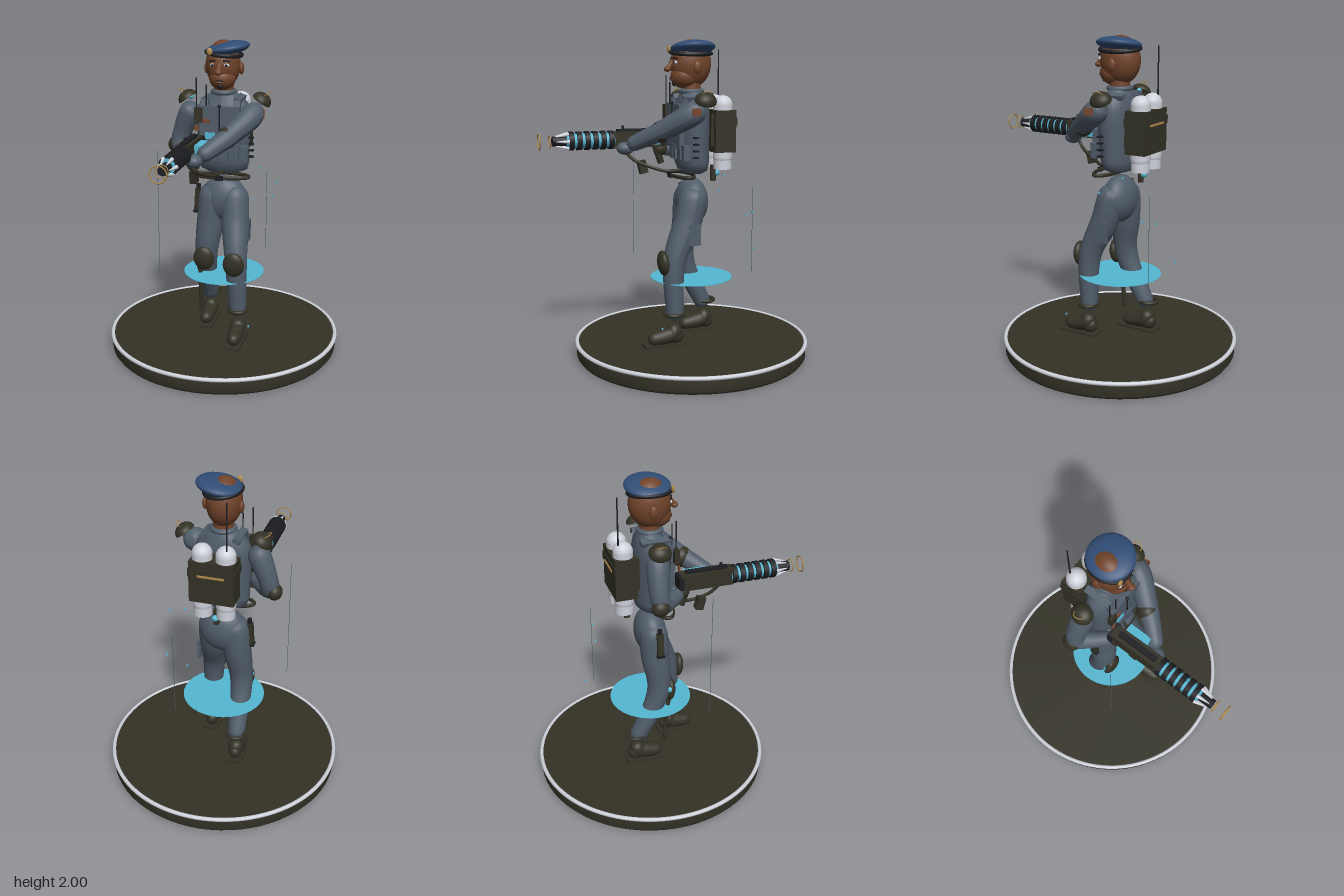
import * as THREE from 'three';

const mat = (name, color, double) => {
  const m = new THREE.MeshStandardMaterial({ color });
  m.name = name;
  if (double) m.side = THREE.DoubleSide;
  return m;
};
const V = (p) => new THREE.Vector3(...p);

// Round-ended limb: a tube whose rings are scaled to follow a list of radii
function limbGeo(points, radii, n = 40, seg = 20) {
  const curve = new THREE.CatmullRomCurve3(points.map(V));
  const g = new THREE.TubeGeometry(curve, n, 1, seg);
  const p = g.attributes.position, v = new THREE.Vector3(), len = curve.getLength();
  for (let i = 0; i <= n; i++) {
    const u = i / n, c = curve.getPointAt(u), f = u * (radii.length - 1);
    const k = Math.min(Math.floor(f), radii.length - 2);
    let r = THREE.MathUtils.lerp(radii[k], radii[k + 1], f - k);
    const d = Math.min(u, 1 - u) * len;
    if (d < r) r = Math.sqrt(Math.max(r * r - (r - d) ** 2, 1e-8));
    for (let j = 0; j <= seg; j++) {
      const q = i * (seg + 1) + j;
      v.fromBufferAttribute(p, q).sub(c).multiplyScalar(r).add(c);
      p.setXYZ(q, v.x, v.y, v.z);
    }
  }
  g.computeVertexNormals();
  return g;
}

// Body of elliptical cross-sections, each [y, z, halfWidth, halfDepth], bottom to top
function loftGeo(rows) {
  const g = new THREE.LatheGeometry(rows.map((r) => new THREE.Vector2(1, r[0])), 32);
  const p = g.attributes.position;
  for (let i = 0; i < p.count; i++) {
    const r = rows[i % rows.length];
    p.setXYZ(i, p.getX(i) * r[2], r[0], p.getZ(i) * r[3] + r[1]);
  }
  g.computeVertexNormals();
  return g;
}

export function createModel() {
  const root = new THREE.Group();
  root.name = 'soldierOnBase';
  const uniform = mat('uniform slate', 0x515d6a), dark = mat('dark olive', 0x343226, true);
  const black = mat('black', 0x1d1e22), skin = mat('skin brown', 0x70432a);
  const beretBlue = mat('beret blue', 0x304c75), cyan = mat('cyan', 0x55b8d2, true);
  const white = mat('light grey', 0xcfd1da), gold = mat('brass', 0xb0894a);
  const rust = mat('rust brown', 0x7a4630);

  const add = (name, geo, m, pos = [0, 0, 0], rot = [0, 0, 0], scale = [1, 1, 1]) => {
    const mesh = new THREE.Mesh(geo, m);
    mesh.name = name;
    mesh.position.set(...pos);
    mesh.rotation.set(...rot);
    mesh.scale.set(...scale);
    root.add(mesh);
    return mesh;
  };
  const box = (name, m, size, pos, rot) => add(name, new THREE.BoxGeometry(...size), m, pos, rot);
  const ball = (name, m, radii, pos, rot) => add(name, new THREE.SphereGeometry(1, 28, 20), m, pos, rot, radii);
  const limb = (name, m, pts, radii) => add(name, limbGeo(pts, radii), m);
  const rod = (name, m, a, b, r, r2 = r) => {
    const d = V(b).sub(V(a));
    const mesh = add(name, new THREE.CylinderGeometry(r2, r, d.length(), 12), m);
    mesh.position.copy(V(a).addScaledVector(d, 0.5));
    mesh.quaternion.setFromUnitVectors(new THREE.Vector3(0, 1, 0), d.normalize());
    return mesh;
  };
  const ring = (name, m, r, t, pos, rot, scale) => add(name, new THREE.TorusGeometry(r, t, 10, 48), m, pos, rot, scale);
  const FLAT = [Math.PI / 2, 0, 0];

  // Display base and floating disc
  const prof = [[0, 0], [0.72, 0], [0.735, 0.02], [0.735, 0.1], [0.725, 0.106], [0, 0.106]];
  add('base', new THREE.LatheGeometry(prof.map((q) => new THREE.Vector2(...q)), 72), dark, [0, 0, -0.095]);
  add('baseRim', new THREE.TorusGeometry(0.733, 0.013, 10, 96), white, [0, 0.1, -0.095], FLAT);
  add('glowDisc', new THREE.CylinderGeometry(0.26, 0.26, 0.004, 48), cyan, [0, 0.51, -0.095]);

  // Legs, knee pads, ankle straps and boots
  const legs = [
    { s: 1, knee: [0.112, 0.64, 0.055], ankle: [0.128, 0.26, 0.055], strap: 0.065 },
    { s: -1, knee: [-0.112, 0.62, -0.075], ankle: [-0.122, 0.26, -0.235], strap: -0.235 },
  ];
  for (const { s, knee, ankle, strap } of legs) {
    const side = s > 0 ? 'left' : 'right', x = ankle[0], z = ankle[2];
    limb(side + 'Leg', uniform, [[s * 0.07, 1.1, -0.095], [s * 0.085, 0.88, s > 0 ? -0.04 : -0.09], knee, ankle],
      [0.085, 0.09, 0.086, 0.074, 0.066, 0.059, 0.052]);
    ball(side + 'KneePad', dark, [0.068, 0.08, 0.035], [knee[0], knee[1] - 0.005, knee[2] + 0.072], [0.1, 0, 0]);
    ring(side + 'AnkleStrap', dark, 0.054, 0.011, [x, 0.31, strap], FLAT, [1.05, 1.05, 1.1]);
    limb(side + 'Boot', dark, [[x, 0.25, z + 0.01], [x, 0.19, z + 0.015], [x, 0.168, z + 0.08], [x, 0.155, z + 0.18]],
      [0.045, 0.052, 0.05, 0.045, 0.035]);
    ball(side + 'Heel', dark, [0.044, 0.05, 0.055], [x, 0.17, z]);
    box(side + 'Sole', dark, [0.105, 0.014, 0.27], [x, 0.12, z + 0.07]);
  }
  ball('pelvis', uniform, [0.15, 0.15, 0.098], [0, 1.0, -0.095]);
  box('thighPocket', uniform, [0.02, 0.13, 0.075], [0.165, 0.81, -0.06]);

  // Torso, collar and belt
  add('torso', loftGeo([[1.175, -0.1, 0.001, 0.001], [1.18, -0.1, 0.1, 0.06], [1.2, -0.1, 0.148, 0.085],
    [1.25, -0.095, 0.163, 0.1], [1.35, -0.09, 0.162, 0.105], [1.47, -0.085, 0.172, 0.112], [1.56, -0.09, 0.172, 0.105],
    [1.62, -0.095, 0.15, 0.09], [1.66, -0.095, 0.1, 0.075], [1.7, -0.09, 0.066, 0.066], [1.71, -0.09, 0.001, 0.001]]), uniform);
  add('neck', new THREE.CylinderGeometry(0.058, 0.065, 0.12, 24), skin, [0, 1.7, -0.09]);
  ring('collar', uniform, 0.066, 0.016, [0, 1.685, -0.09], FLAT);
  ring('belt', dark, 0.17, 0.012, [0, 1.168, -0.025], FLAT, [1.02, 0.4, 1]);
  box('buckle', black, [0.05, 0.03, 0.012], [0, 1.168, 0.05]);

  // Vest panels, pouches and chest gear
  box('chestPanel', uniform, [0.25, 0.16, 0.03], [0, 1.53, 0.015]);
  box('bellyPanel', uniform, [0.25, 0.1, 0.03], [0, 1.39, 0.012]);
  for (const x of [-0.04, 0.025, 0.09, 0.145]) {
    box('pouch', uniform, [0.052, 0.085, 0.04], [x, 1.315, 0.015 - Math.abs(x) * 0.15]);
    box('pouchFlap', uniform, [0.056, 0.02, 0.046], [x, 1.355, 0.015 - Math.abs(x) * 0.15]);
  }
  for (const s of [1, -1]) {
    box('vestStrap', uniform, [0.045, 0.03, 0.17], [s * 0.1, 1.645, -0.09], [0, 0, -s * 0.35]);
    box('strapFront', uniform, [0.045, 0.09, 0.03], [s * 0.1, 1.6, 0.0], [-0.35, 0, 0]);
  }
  rod('chestCord', black, [0, 1.45, 0.035], [0, 1.61, 0.035], 0.005);
  ball('chestClip', black, [0.01, 0.01, 0.01], [0, 1.615, 0.035]);
  box('radio', dark, [0.05, 0.09, 0.03], [-0.13, 1.555, 0.03]);
  rod('radioAntenna', black, [-0.145, 1.58, 0.025], [-0.145, 1.78, 0.025], 0.004);
  rod('shortAntenna', black, [-0.085, 1.6, 0.02], [-0.085, 1.74, 0.02], 0.004);
  box('chestTag', rust, [0.045, 0.025, 0.008], [-0.085, 1.52, 0.034]);
  box('radioTag', rust, [0.03, 0.03, 0.008], [-0.14, 1.475, 0.045]);
  box('chestScreen', cyan, [0.06, 0.04, 0.008], [-0.06, 1.43, 0.032]);
  for (const y of [1.29, 1.33, 1.37, 1.41]) box('sideClip', black, [0.03, 0.01, 0.03], [0.18, y, -0.06]);

  // Arms with elbow pads, gloves and shoulder pads
  limb('leftArm', uniform, [[0.185, 1.6, -0.1], [0.19, 1.56, -0.04], [0.085, 1.455, 0.12], [-0.06, 1.35, 0.3]],
    [0.072, 0.073, 0.066, 0.06, 0.052, 0.045]);
  ball('leftElbowPad', dark, [0.064, 0.066, 0.064], [0.07, 1.445, 0.13]);
  ball('leftGlove', uniform, [0.05, 0.04, 0.055], [-0.085, 1.335, 0.31]);
  limb('rightArm', uniform, [[-0.185, 1.6, -0.1], [-0.225, 1.54, -0.11], [-0.29, 1.34, -0.11], [-0.22, 1.315, -0.03], [-0.15, 1.32, 0.05]],
    [0.07, 0.068, 0.06, 0.056, 0.05, 0.043]);
  ball('rightElbowPad', dark, [0.045, 0.05, 0.055], [-0.325, 1.33, -0.125]);
  ball('rightGlove', dark, [0.04, 0.045, 0.045], [-0.145, 1.32, 0.065]);
  const dome = new THREE.SphereGeometry(0.062, 28, 10, 0, Math.PI * 2, 0, Math.PI / 2);
  for (const s of [1, -1]) {
    add('shoulderPad', dome, dark, [s * 0.232, 1.633, -0.1], [0, 0, -s * 0.6], [1, 0.85, 1.1]);
    ball('shoulderLight', cyan, [0.017, 0.017, 0.017], [s * 0.215, 1.645, -0.1]);
    ring('shoulderTrim', gold, 0.03, 0.003, [s * 0.262, 1.675, -0.1], [Math.PI / 2, s * 0.6, 0]);
  }
  box('sleevePatch', rust, [0.008, 0.045, 0.055], [0.262, 1.57, -0.035], [0, 0.2, 0]);

  // Head and face
  ball('skull', skin, [0.105, 0.148, 0.128], [-0.005, 1.852, -0.09]);
  ball('jaw', skin, [0.082, 0.075, 0.09], [0, 1.775, -0.05]);
  rod('nose', skin, [0, 1.87, 0.025], [0, 1.82, 0.062], 0.012, 0.018);
  ball('noseTip', skin, [0.022, 0.017, 0.022], [0, 1.82, 0.062]);
  box('mouth', black, [0.045, 0.008, 0.008], [0, 1.768, 0.038]);
  ball('lowerLip', skin, [0.026, 0.009, 0.012], [0, 1.758, 0.034]);
  ball('chinBeard', black, [0.018, 0.016, 0.012], [0, 1.733, 0.02]);
  for (const s of [1, -1]) {
    ball('eye', white, [0.017, 0.011, 0.01], [s * 0.042, 1.86, 0.024]);
    ball('iris', black, [0.008, 0.008, 0.005], [s * 0.042, 1.86, 0.032]);
    box('eyebrow', black, [0.042, 0.009, 0.012], [s * 0.043, 1.885, 0.026], [0, s * 0.3, s * -0.12]);
    ball('ear', skin, [0.016, 0.038, 0.026], [s * 0.108, 1.83, -0.095]);
  }

  // Beret
  ball('beret', beretBlue, [0.137, 0.041, 0.138], [0.022, 1.95, -0.095], [0, 0, 0.16]);
  ring('beretBand', black, 0.11, 0.012, [0, 1.918, -0.09], [Math.PI / 2, -0.1, 0], [0.98, 1.13, 1]);
  ball('beretBadge', gold, [0.018, 0.023, 0.01], [-0.06, 1.94, 0.034]);

  // Backpack with twin tanks and antenna
  box('packBody', dark, [0.27, 0.26, 0.135], [0, 1.44, -0.272]);
  box('packFlap', dark, [0.28, 0.05, 0.145], [0, 1.5, -0.272]);
  box('packStripe', gold, [0.16, 0.012, 0.008], [0, 1.485, -0.347]);
  for (const s of [1, -1]) {
    add('tank', new THREE.CapsuleGeometry(0.06, 0.32, 10, 28), white, [s * 0.071, 1.44, -0.275]);
    add('tankFoot', new THREE.CylinderGeometry(0.056, 0.056, 0.1, 28), white, [s * 0.071, 1.252, -0.275]);
    box('packStrap', dark, [0.035, 0.2, 0.03], [s * 0.09, 1.45, -0.2]);
  }
  rod('packAntenna', black, [-0.085, 1.5, -0.305], [-0.085, 1.94, -0.305], 0.006, 0.004);
  ball('packLight', cyan, [0.02, 0.02, 0.02], [0, 1.17, -0.262]);
  rod('packValve', dark, [0, 1.12, -0.24], [0, 1.22, -0.24], 0.018);

  // Rifle: body, coiled barrel, muzzle prongs and rings
  const gx = -0.14, gy = 1.385;
  box('receiver', dark, [0.08, 0.1, 0.33], [gx, gy, 0.215]);
  box('topRail', black, [0.035, 0.02, 0.26], [gx, gy + 0.055, 0.22]);
  box('energyCell', cyan, [0.055, 0.06, 0.15], [gx + 0.067, gy, 0.175]);
  box('rearPlate', black, [0.1, 0.08, 0.03], [gx, gy, 0.05]);
  box('frontSight', black, [0.012, 0.045, 0.015], [gx, gy + 0.065, 0.31]);
  rod('pistolGrip', dark, [gx, 1.34, 0.1], [gx, 1.23, 0.06], 0.022);
  box('magazine', dark, [0.045, 0.08, 0.05], [gx + 0.02, 1.21, 0.19], [0.25, 0, 0]);
  rod('barrelCore', cyan, [gx, gy, 0.37], [gx, gy, 0.67], 0.046);
  for (let i = 0; i < 6; i++) {
    rod('coil', black, [gx, gy, 0.375 + i * 0.05], [gx, gy, 0.406 + i * 0.05], 0.058);
  }
  rod('muzzle', black, [gx, gy, 0.66], [gx, gy, 0.755], 0.03);
  for (let i = 0; i < 6; i++) {
    const a = (i * Math.PI) / 3, c = Math.cos(a), s = Math.sin(a);
    rod('prong', white, [gx + c * 0.05, gy + s * 0.05, 0.655], [gx + c * 0.033, gy + s * 0.033, 0.735], 0.012, 0.003);
  }
  ring('innerRing', gold, 0.037, 0.003, [gx, gy, 0.77]);
  ring('outerRing', gold, 0.048, 0.004, [gx, gy, 0.836]);
  limb('powerHose', dark, [[gx, 1.34, 0.32], [-0.11, 1.26, 0.25], [-0.07, 1.21, 0.14], [-0.02, 1.19, 0.06], [0.02, 1.2, -0.03]],
    [0.01, 0.01]);

  // Hip knife and hanging baton
  box('knifeSheath', dark, [0.035, 0.14, 0.04], [-0.168, 0.99, -0.08], [0, 0, -0.06]);
  box('knifeGuard', black, [0.06, 0.014, 0.05], [-0.165, 0.91, -0.08]);
  rod('knifeHandle', black, [-0.165, 1.05, -0.08], [-0.162, 1.09, -0.08], 0.014);
  rod('baton', dark, [-0.14, 0.61, -0.01], [-0.14, 0.23, -0.05], 0.014);
  ball('batonLight', cyan, [0.022, 0.024, 0.022], [-0.155, 0.635, -0.01]);

  // Thin guide lines and floating sparks
  rod('guideLine', uniform, [-0.35, 0.56, 0.185], [-0.35, 1.36, 0.185], 0.0015);
  rod('guideLine', uniform, [0.215, 0.56, -0.42], [0.215, 1.1, -0.42], 0.0015);
  for (const p of [[0.05, 0.67, -0.51], [0.26, 0.95, -0.4], [0.2, 1.18, -0.23], [0.33, 1.11, -0.15], [0.22, 0.25, 0.17], [0.125, 0.91, -0.42]]) {
    box('spark', cyan, [0.01, 0.01, 0.01], p);
  }
  return root;
}
